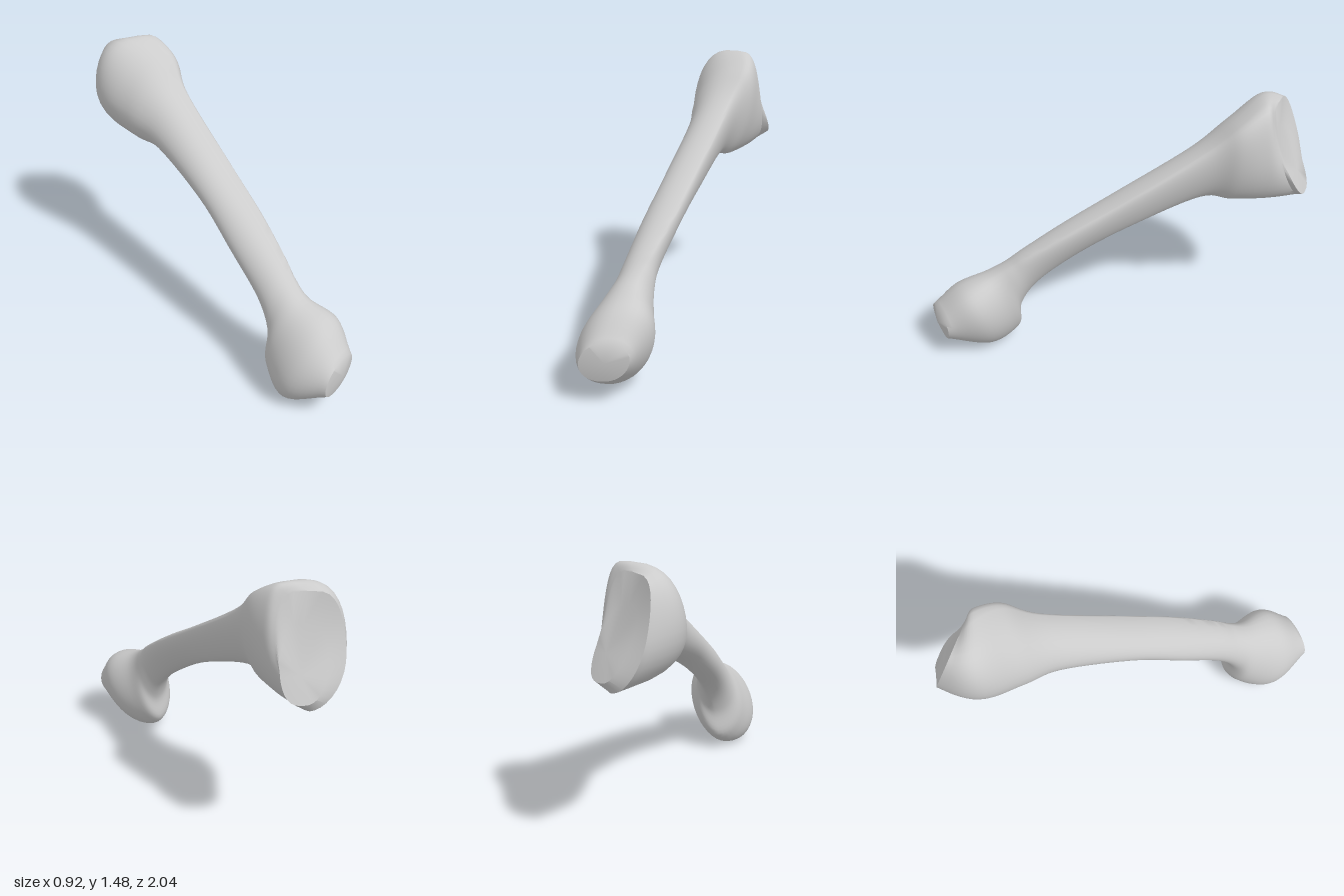
import * as THREE from 'three';
import { toCreasedNormals } from 'three/addons/utils/BufferGeometryUtils.js';

// Cross-sections from the rounded lower end to the flared upper end:
// [crest point], [underside point], [reach left, reach right, yaw],
// [roundness of upper left, upper right, lower half]
const SECTIONS = [
  [[-0.27, 0.34, 0.985], [-0.31, 0.13, 0.97], [0.13, 0.12, 0], [0.9, 0.9, 0.9]],
  [[-0.21, 0.47, 0.86], [-0.31, 0.0, 0.71], [0.2, 0.18, 0], [0.85, 0.9, 0.95]],
  [[-0.19, 0.53, 0.69], [-0.24, 0.09, 0.54], [0.17, 0.12, 0], [0.9, 1, 1.1]],
  [[-0.15, 0.59, 0.59], [-0.21, 0.26, 0.53], [0.14, 0.08, 0], [0.85, 1.1, 1.05]],
  [[-0.1, 0.66, 0.5], [-0.16, 0.43, 0.43], [0.14, 0.05, 0], [0.75, 1.15, 0.85]],
  [[-0.01, 0.81, 0.28], [-0.08, 0.61, 0.2], [0.155, 0.05, 0], [0.72, 1.1, 0.8]],
  [[0.09, 0.98, 0], [0.04, 0.78, -0.08], [0.175, 0.04, 0], [0.72, 1.1, 0.8]],
  [[0.22, 1.24, -0.4], [0.14, 0.91, -0.43], [0.19, 0.06, 5], [0.75, 1.1, 1]],
  [[0.29, 1.4, -0.57], [0.21, 0.89, -0.59], [0.26, 0.1, 15], [0.75, 0.9, 1.1]],
  [[0.27, 1.48, -0.73], [0.29, 0.89, -0.77], [0.29, 0.13, 27], [0.65, 0.55, 1.1]],
  [[0.25, 1.45, -0.83], [0.36, 0.9, -0.95], [0.18, 0.15, 50], [0.5, 0.5, 1.2]],
];

// Raised lip inside the rim of the upper joint face
const LIP = [[0.27, 1.3, -0.84], [0.42, 0.95, -0.94], [0.12, 0.11, 50], [0.7, 0.7, 0.75]];

const spow = (v, e) => Math.sign(v) * Math.abs(v) ** e;

// One ring hung on a crest-to-underside line, with its own left and right reach
function ring(pos, sides, [crest, under, reach, round]) {
  const mid = crest.clone().add(under).multiplyScalar(0.5);
  const half = crest.clone().sub(under).multiplyScalar(0.5);
  const yaw = THREE.MathUtils.degToRad(reach.z);
  const across = new THREE.Vector3(Math.cos(yaw), 0, Math.sin(yaw));
  for (let j = 0; j < sides; j++) {
    const a = (j / sides) * Math.PI * 2, c = Math.cos(a), s = Math.sin(a);
    const e = s < 0 ? round.z : c < 0 ? round.x : round.y;
    const w = spow(c, e) * (c > 0 ? reach.y : reach.x);
    const p = mid.clone().addScaledVector(half, s).addScaledVector(across, w);
    pos.push(p.x, p.y, p.z);
  }
}

function boneGeometry(steps, sides) {
  const curves = [0, 1, 2, 3].map((k) => new THREE.CatmullRomCurve3(
    SECTIONS.map((s) => new THREE.Vector3(...s[k])), false, 'catmullrom', 0.5));
  const pos = [], index = [];
  for (let i = 0; i <= steps; i++) ring(pos, sides, curves.map((c) => c.getPoint(i / steps)));
  ring(pos, sides, LIP.map((v) => new THREE.Vector3(...v)));

  const bands = steps + 1;
  for (let i = 0; i < bands; i++) {
    for (let j = 0; j < sides; j++) {
      const k = (j + 1) % sides;
      const a = i * sides + j, b = i * sides + k, c = b + sides, d = a + sides;
      index.push(a, d, b, b, d, c);
    }
  }
  // Closing fans: rounded lower tip and upper joint face
  const first = pos.length / 3, last = first + 1, top = bands * sides;
  pos.push(-0.29, 0.24, 1.0, 0.38, 1.08, -0.9);
  for (let j = 0; j < sides; j++) {
    const k = (j + 1) % sides;
    index.push(first, j, k, last, top + k, top + j);
  }
  const g = new THREE.BufferGeometry();
  g.setAttribute('position', new THREE.Float32BufferAttribute(pos, 3));
  g.setIndex(index);
  return toCreasedNormals(g, 0.8);
}

export function createModel() {
  const group = new THREE.Group();
  group.name = 'legBone';
  const bone = new THREE.Mesh(
    boneGeometry(70, 36), new THREE.MeshStandardMaterial({ color: 0xcccccc }));
  bone.name = 'bone';
  group.add(bone);
  return group;
}
